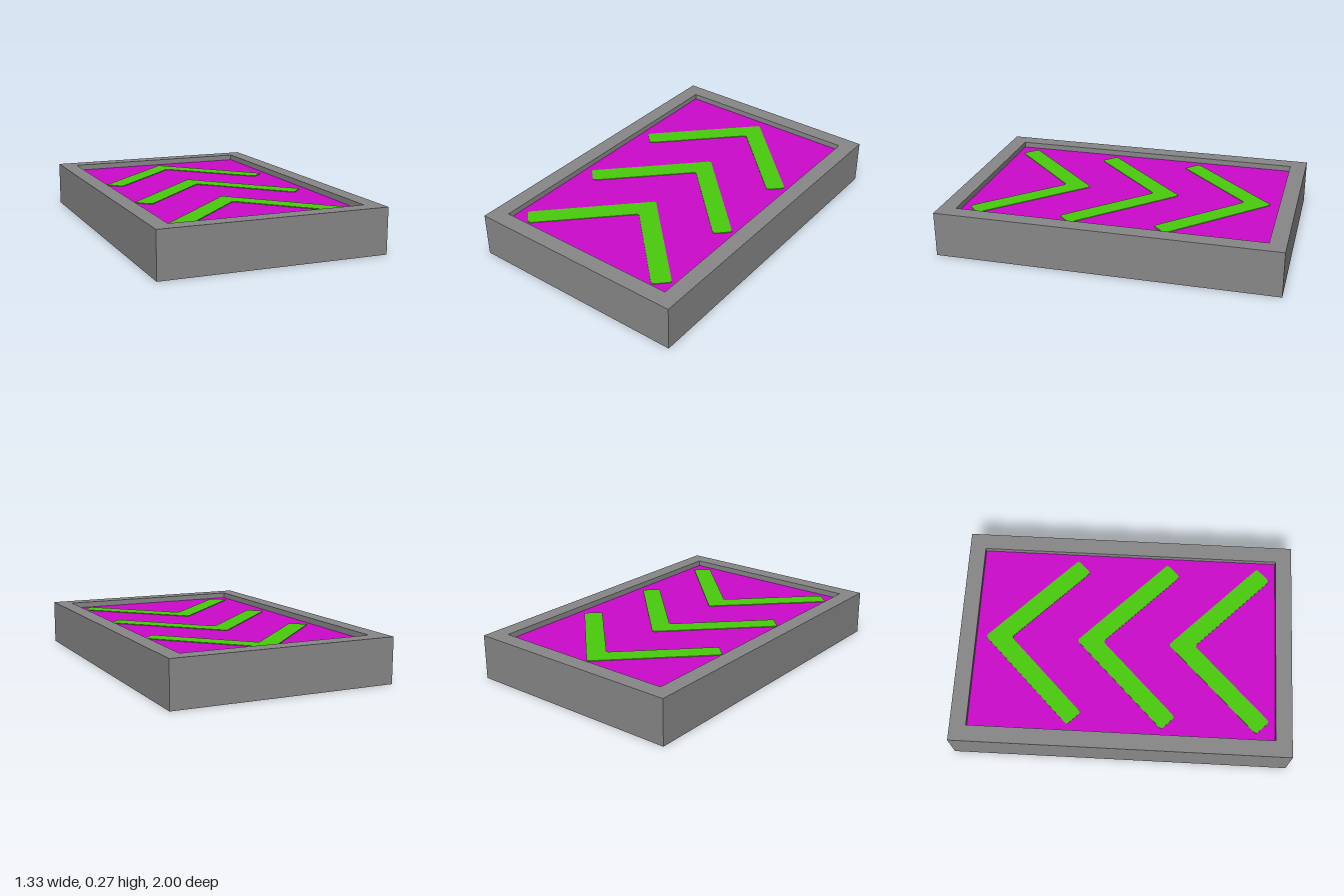
import * as THREE from 'three';

const W = 1.333, H = 0.267, L = 2;          // outer block
const IW = 1.14, IL = 1.806, FLOOR = 0.233; // recess

function material(name, color) {
  const m = new THREE.MeshStandardMaterial({ color });
  m.name = name;
  return m;
}

// Closed outline from [x, forward] points, where forward is -z
function outline(points, Type = THREE.Shape) {
  return new Type(points.map(([x, y]) => new THREE.Vector2(x, y)));
}

function rect(w, l, Type) {
  return outline([[-w / 2, -l / 2], [w / 2, -l / 2], [w / 2, l / 2], [-w / 2, l / 2]], Type);
}

// Extrude a plan outline straight up
function slab(shape, depth) {
  return new THREE.ExtrudeGeometry(shape, { depth, bevelEnabled: false }).rotateX(-Math.PI / 2);
}

export function createModel() {
  const grey = material('grey casing', 0x888888);
  const magenta = material('magenta panel', 0xcc0acc);
  const green = material('green arrow', 0x4acc0c);
  const group = new THREE.Group();
  group.name = 'arrowPad';

  const add = (name, geometry, mat) => {
    const mesh = new THREE.Mesh(geometry, mat);
    mesh.name = name;
    group.add(mesh);
    return mesh;
  };

  // Casing walls around the recess
  const frame = rect(W, L);
  frame.holes.push(rect(IW, IL, THREE.Path));
  add('casingFrame', slab(frame, H), grey);

  // Recess floor: magenta on top, grey below
  const floor = add('panelFloor', new THREE.BoxGeometry(IW, FLOOR, IL),
    [grey, grey, magenta, grey, grey, grey]);
  floor.position.y = FLOOR / 2;

  // Chevrons pointing to the back, with clipped tips
  const half = [[0.008, 0.84], [0.508, 0.34], [0.524, 0.322], [0.52, 0.31],
    [0.462, 0.252], [0.45, 0.247], [0.435, 0.257], [0.008, 0.682]];
  const mirrored = half.map(([x, y]) => [-x, y]).reverse();
  const chevron = slab(outline([...half, ...mirrored]), 0.004);
  for (let i = 0; i < 3; i++) {
    add('chevron' + (i + 1), chevron, green).position.set(0, FLOOR, i * 0.555);
  }
  return group;
}
